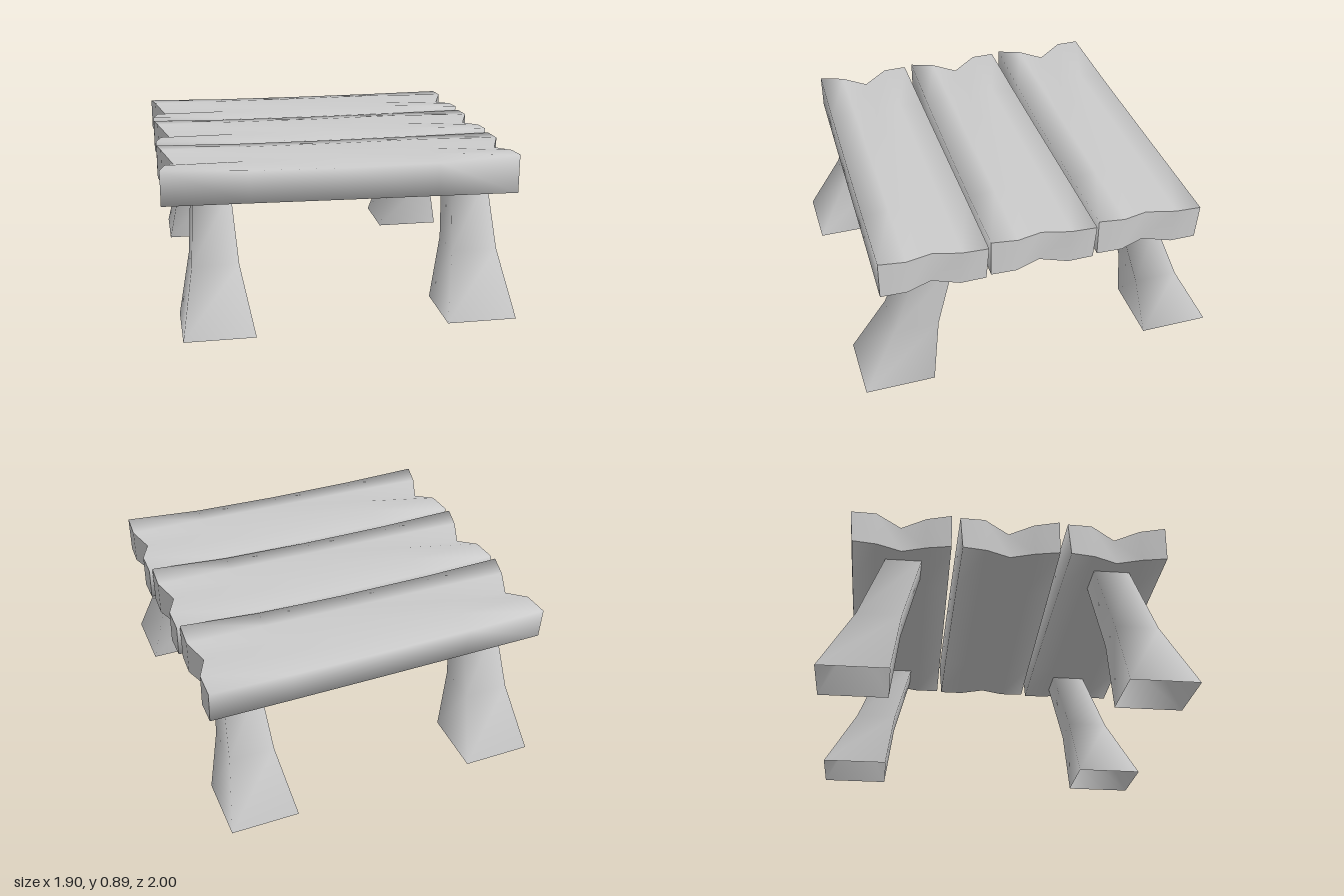
import * as THREE from 'three';

const material = new THREE.MeshStandardMaterial({ color: 0xcccccc });
const openMaterial = new THREE.MeshStandardMaterial({ color: 0xcccccc, side: THREE.DoubleSide });

function build(points, index) {
  const g = new THREE.BufferGeometry();
  g.setAttribute('position', new THREE.Float32BufferAttribute(points.flat(), 3));
  g.setIndex(index);
  g.computeVertexNormals();
  return g;
}

// Smooth skin through closed rings of equal point count
function loft(rings) {
  const n = rings[0].length;
  const index = [];
  for (let i = 0; i < rings.length - 1; i++) {
    for (let j = 0; j < n; j++) {
      const a = i * n + j, d = i * n + (j + 1) % n;
      const b = a + n, c = d + n;
      index.push(a, d, c, a, c, b);
    }
  }
  return build(rings.flat(), index);
}

// End grain: strips joining the top half of a ring to its bottom half
function endCap(ring, flip) {
  const n = ring.length;
  const index = [];
  for (let j = 0; j < n / 2 - 1; j++) {
    const a = j, b = j + 1, c = n - 2 - j, d = n - 1 - j;
    if (flip) index.push(a, c, b, a, d, c);
    else index.push(a, b, c, a, c, d);
  }
  return build(ring, index);
}

// Plank stations, back edge to front edge: x offsets, heights and edge positions
const stations = [
  { x: [-0.95, -0.93, -0.87, -0.92, -0.95], top: [0.87, 0.88, 0.835, 0.87, 0.88], z: [-0.28, 0.26], low: 0.69 },
  { x: [-0.5, -0.5, -0.5, -0.5, -0.5], top: [0.86, 0.878, 0.872, 0.873, 0.862], z: [-0.28, 0.27], low: 0.687 },
  { x: [0, 0, 0, 0, 0], top: [0.858, 0.876, 0.875, 0.872, 0.855], z: [-0.278, 0.28], low: 0.683 },
  { x: [0.5, 0.5, 0.5, 0.5, 0.5], top: [0.86, 0.88, 0.868, 0.875, 0.86], z: [-0.275, 0.29], low: 0.68 },
  { x: [0.95, 0.95, 0.89, 0.94, 0.935], top: [0.865, 0.872, 0.855, 0.875, 0.887], z: [-0.27, 0.3], low: 0.677 },
];

function plankRing({ x, top, z, low }) {
  const zAt = (j, inset) => THREE.MathUtils.lerp(z[0] + inset, z[1], j / 4);
  const upper = x.map((px, j) => [px, top[j], zAt(j, 0)]);
  const lower = x.map((px, j) => [px, low, zAt(j, 0.015)]).reverse();
  return [...upper, ...lower];
}

function makePlank() {
  const plank = new THREE.Group();
  const rings = stations.map(plankRing);
  const parts = {
    plankBody: loft(rings),
    plankRightEnd: endCap(rings[0], true),
    plankLeftEnd: endCap(rings[rings.length - 1], false),
  };
  for (const [name, geometry] of Object.entries(parts)) {
    const mesh = new THREE.Mesh(geometry, material);
    mesh.name = name;
    plank.add(mesh);
  }
  return plank;
}

// Square leg, splayed outward and flared at the foot, open underneath
function makeLeg(x, side) {
  const levels = [
    { y: 0, z: 0.81, w: 0.19, d: 0.19 },
    { y: 0.34, z: 0.69, w: 0.125, d: 0.12 },
    { y: 0.7, z: 0.57, w: 0.1, d: 0.098 },
  ];
  const corners = [[-1, 1], [1, 1], [1, -1], [-1, -1]];
  const rings = levels.map(({ y, z, w, d }) =>
    corners.map(([sx, sz]) => [x + sx * w, y, side * z + sz * d]));
  return new THREE.Mesh(loft(rings), openMaterial);
}

export function createModel() {
  const model = new THREE.Group();
  model.name = 'plankTable';

  // Three table top boards
  [['backPlank', -0.585], ['middlePlank', 0], ['frontPlank', 0.585]].forEach(([name, z]) => {
    const plank = makePlank();
    plank.name = name;
    plank.position.z = z;
    model.add(plank);
  });

  // Four legs
  for (const [sideName, x] of [['Right', -0.68], ['Left', 0.73]]) {
    for (const [endName, side] of [['front', 1], ['back', -1]]) {
      const leg = makeLeg(x, side);
      leg.name = `${endName}${sideName}Leg`;
      model.add(leg);
    }
  }
  return model;
}
